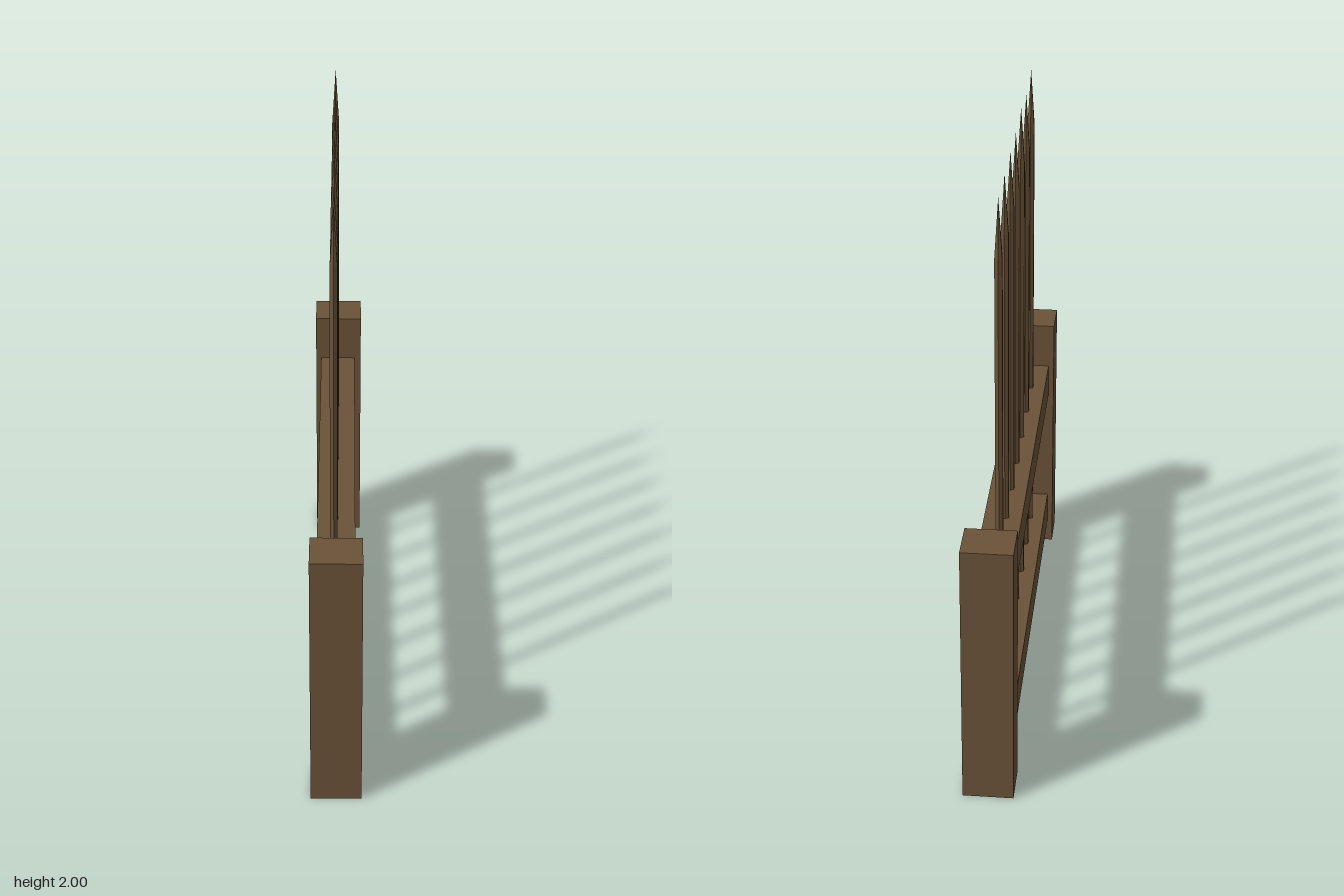
import * as THREE from 'three';

export function createModel() {
  const group = new THREE.Group();
  const wood = new THREE.MeshStandardMaterial({ color: 0x6b5339, flatShading: true });
  wood.name = 'brown wood';

  const add = (name, geometry, x, y, z) => {
    const mesh = new THREE.Mesh(geometry, wood);
    mesh.name = name;
    mesh.position.set(x, y, z);
    group.add(mesh);
  };

  // Square end posts
  for (const side of [1, -1]) {
    add(side > 0 ? 'frontPost' : 'backPost', new THREE.BoxGeometry(0.168, 0.938, 0.145), 0, 0.469, side * 0.806);
  }

  // Two horizontal rails between the posts
  add('lowerRail', new THREE.BoxGeometry(0.126, 0.124, 1.468), -0.002, 0.145, 0);
  add('upperRail', new THREE.BoxGeometry(0.126, 0.126, 1.468), -0.002, 0.708, 0);

  // Sharpened stakes [z, tip height], slightly uneven
  const stakes = [
    [0.557, 2.0], [0.369, 1.98], [0.178, 2.0], [-0.009, 1.985],
    [-0.19, 1.99], [-0.377, 1.99], [-0.568, 1.99],
  ];
  const radius = 0.014, bottom = 0.042, tipLength = 0.2;
  for (const [z, top] of stakes) {
    const profile = [
      [0, bottom], [radius, bottom], [radius, top - tipLength], [0, top],
    ].map(([r, y]) => new THREE.Vector2(r, y));
    add('stake', new THREE.LatheGeometry(profile, 6), -0.009, 0, z);
  }
  return group;
}
